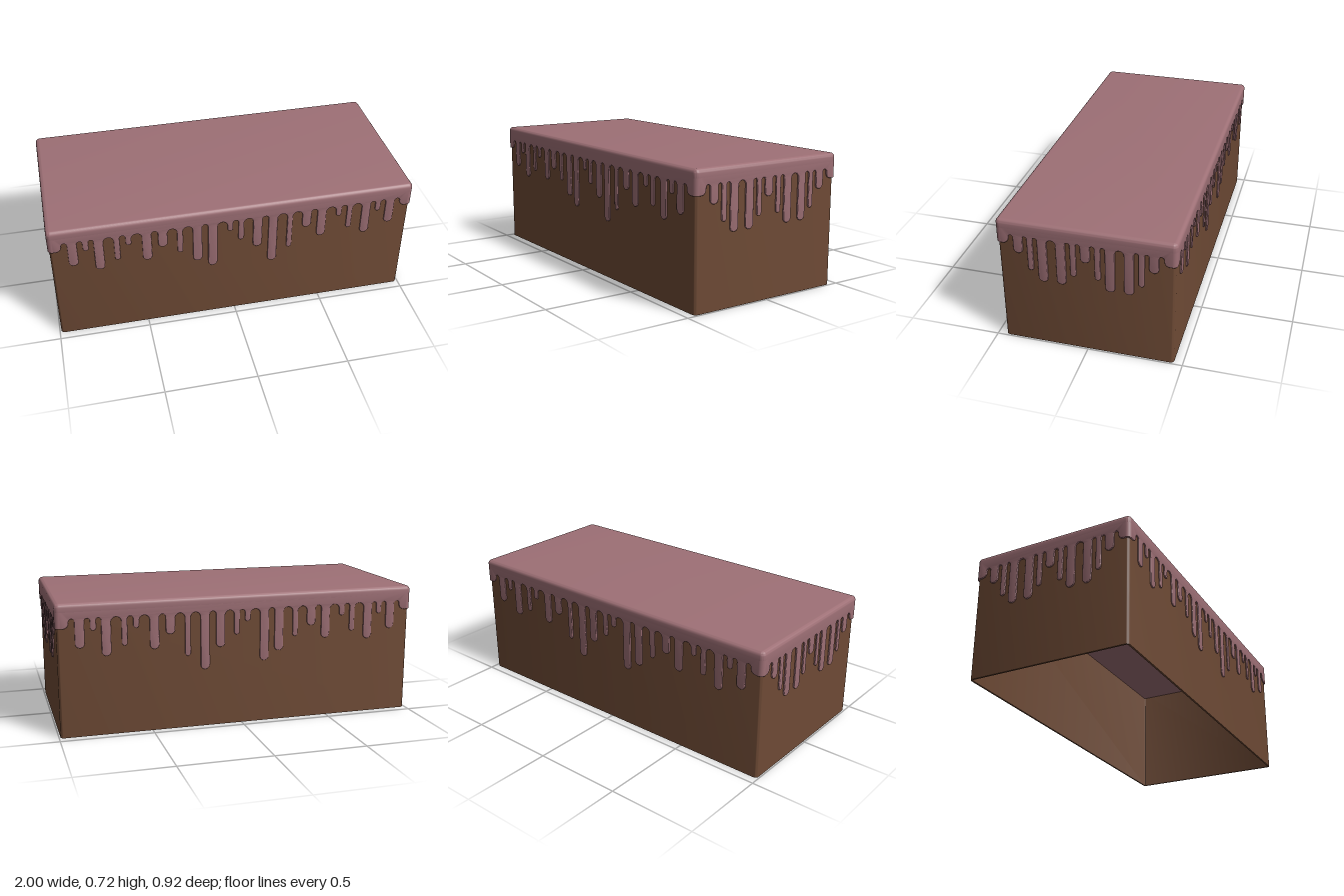
import * as THREE from 'three';
import { toCreasedNormals } from 'three/addons/utils/BufferGeometryUtils.js';

const HX = 1, HZ = 0.462, TOP = 0.717, GAP_TOP = 0.636, CORNER_Y = 0.585, R = 0.025;
const OVERHANG = 0.008; // how far the icing stands out from the cake

// Drips as [centre, width, lowest point]
const LONG_DRIPS = [
  [-0.875, 0.05, 0.48], [-0.805, 0.03, 0.57], [-0.738, 0.05, 0.43], [-0.642, 0.03, 0.48],
  [-0.58, 0.03, 0.57], [-0.483, 0.05, 0.45], [-0.398, 0.05, 0.525], [-0.305, 0.03, 0.47],
  [-0.21, 0.05, 0.395], [-0.127, 0.05, 0.345], [-0.03, 0.03, 0.57], [0.03, 0.03, 0.5],
  [0.122, 0.05, 0.437], [0.208, 0.05, 0.32], [0.303, 0.03, 0.4], [0.398, 0.05, 0.525],
  [0.483, 0.05, 0.45], [0.58, 0.03, 0.57], [0.642, 0.03, 0.48], [0.738, 0.05, 0.43],
  [0.805, 0.03, 0.57], [0.875, 0.05, 0.48],
];
const HALF_SHORT = [[-0.347, 0.05, 0.537], [-0.285, 0.03, 0.445], [-0.222, 0.05, 0.386],
  [-0.126, 0.05, 0.386], [-0.063, 0.03, 0.445]];
const SHORT_DRIPS = [...HALF_SHORT, [0, 0.05, 0.537],
  ...HALF_SHORT.map(([c, w, y]) => [-c, w, y]).reverse()];

function roundedRect(target, hx, hz, r) {
  target.absarc(hx - r, hz - r, r, 0, Math.PI / 2);
  target.absarc(-hx + r, hz - r, r, Math.PI / 2, Math.PI);
  target.absarc(-hx + r, -hz + r, r, Math.PI, Math.PI * 1.5);
  target.absarc(hx - r, -hz + r, r, Math.PI * 1.5, Math.PI * 2);
  target.closePath();
  return target;
}

// Icing outline of one side: corner flap, then gaps and drips in turn, then corner flap
function skirtShape(half, drips, edgeGap) {
  const end = half - R + 0.004, flat = half - 0.032;
  const first = drips[0][0] - drips[0][1] / 2 - edgeGap;
  const s = new THREE.Shape();
  s.moveTo(-end, 0.688);
  s.lineTo(-end, CORNER_Y);
  s.lineTo(-flat, CORNER_Y);
  s.quadraticCurveTo(first, CORNER_Y, first, GAP_TOP - edgeGap / 2);
  let x = first;
  const gapTo = (next) => {
    const r = (next - x) / 2;
    s.absarc(x + r, GAP_TOP - r, r, Math.PI, 0, true);
  };
  for (const [c, w, y] of drips) {
    gapTo(c - w / 2);
    s.absarc(c, y + w / 2, w / 2, Math.PI, Math.PI * 2, false);
    x = c + w / 2;
  }
  gapTo(x + edgeGap);
  s.quadraticCurveTo(x + edgeGap, CORNER_Y, flat, CORNER_Y);
  s.lineTo(end, CORNER_Y);
  s.lineTo(end, 0.688);
  s.closePath();
  return s;
}

export function createModel() {
  const group = new THREE.Group();
  const cakeMat = new THREE.MeshStandardMaterial({ color: 0x6e4a35 });
  const icingMat = new THREE.MeshStandardMaterial({ color: 0x9e7076 });
  const add = (name, geometry, material) => {
    const mesh = new THREE.Mesh(geometry, material);
    mesh.name = name;
    group.add(mesh);
    return mesh;
  };

  // Hollow cake walls, open below
  const wallX = HX - OVERHANG, wallZ = HZ - OVERHANG;
  const wall = roundedRect(new THREE.Shape(), wallX, wallZ, 0.02);
  wall.holes.push(roundedRect(new THREE.Path(), wallX - 0.01, wallZ - 0.01, 0.01));
  const wallGeo = new THREE.ExtrudeGeometry(wall, { depth: 0.68, bevelEnabled: false, curveSegments: 6 });
  wallGeo.rotateX(-Math.PI / 2);
  add('cakeWalls', toCreasedNormals(wallGeo, 0.6), cakeMat);

  // Icing slab with a rounded rim
  const bevel = 0.022, slabBottom = 0.65;
  const slabGeo = new THREE.ExtrudeGeometry(roundedRect(new THREE.Shape(), HX, HZ, R), {
    depth: TOP - slabBottom - 2 * bevel, bevelThickness: bevel, bevelSize: bevel,
    bevelOffset: -bevel, bevelSegments: 6, curveSegments: 8,
  });
  slabGeo.rotateX(-Math.PI / 2).translate(0, slabBottom + bevel, 0);
  add('icingTop', toCreasedNormals(slabGeo, 0.6), icingMat);

  // Dripping icing on the four sides
  const soft = 0.004;
  const skirt = (half, drips, edgeGap, distance) => {
    const geo = new THREE.ExtrudeGeometry(skirtShape(half, drips, edgeGap), {
      depth: 0.006, bevelThickness: soft, bevelSize: soft, bevelOffset: -soft,
      bevelSegments: 3, curveSegments: 10,
    });
    geo.translate(0, 0, distance - 0.006 - soft);
    return toCreasedNormals(geo, 0.6);
  };
  const longGeo = skirt(HX, LONG_DRIPS, 0.03, HZ);
  const shortGeo = skirt(HZ, SHORT_DRIPS, 0.024, HX);
  add('frontDrips', longGeo, icingMat);
  // The back repeats the front mirrored, so its order along x is reversed
  const backDrips = LONG_DRIPS.map(([c, w, y]) => [-c, w, y]).reverse();
  add('backDrips', skirt(HX, backDrips, 0.03, HZ), icingMat).rotation.y = Math.PI;
  add('leftDrips', shortGeo, icingMat).rotation.y = Math.PI / 2;
  add('rightDrips', shortGeo, icingMat).rotation.y = -Math.PI / 2;

  // Rounded icing at the vertical corners
  const profile = [[0.013, CORNER_Y], [R - soft, CORNER_Y], [R - 0.001, CORNER_Y + 0.001],
    [R, CORNER_Y + soft], [R, 0.69]].map(([x, y]) => new THREE.Vector2(x, y));
  const cornerGeo = new THREE.LatheGeometry(profile, 8, 0, Math.PI / 2);
  [[1, 1], [1, -1], [-1, -1], [-1, 1]].forEach(([sx, sz], i) => {
    const corner = add('icingCorner', cornerGeo, icingMat);
    corner.rotation.y = i * Math.PI / 2;
    corner.position.set(sx * (HX - R), 0, sz * (HZ - R));
  });
  return group;
}
